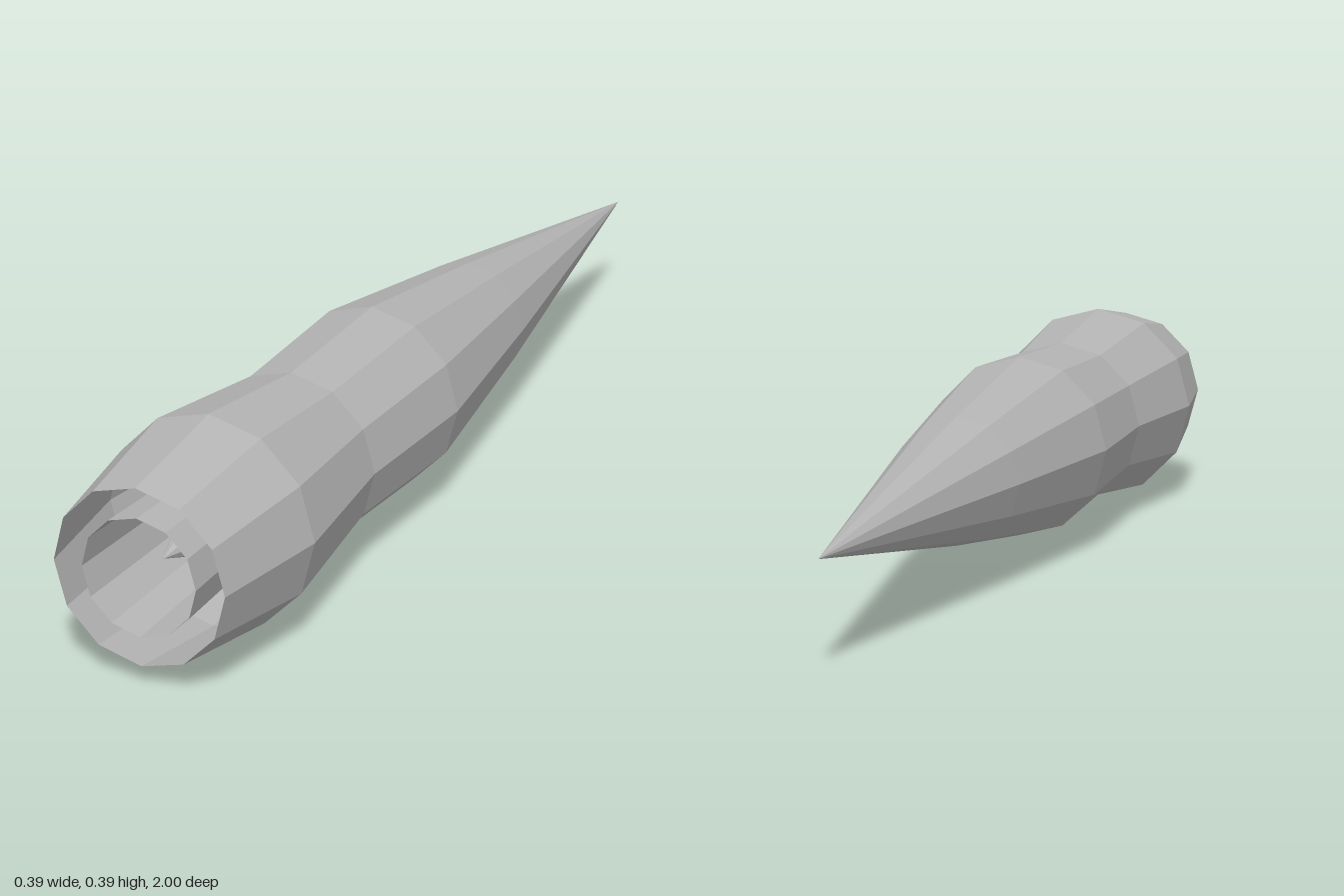
import * as THREE from 'three';

const AXIS_HEIGHT = 0.197;

export function createModel() {
  const group = new THREE.Group();
  group.name = 'taperedNozzle';

  const metal = new THREE.MeshStandardMaterial({
    color: 0xb4b4b4, flatShading: true, side: THREE.DoubleSide,
  });
  metal.name = 'grey metal';

  // Revolve [radius, z] pairs about the long axis
  function revolve(name, profile, sides) {
    const points = profile.map(([r, z]) => new THREE.Vector2(r, z));
    const geometry = new THREE.LatheGeometry(points, sides);
    geometry.rotateX(Math.PI / 2);
    const mesh = new THREE.Mesh(geometry, metal);
    mesh.name = name;
    mesh.position.y = AXIS_HEIGHT;
    group.add(mesh);
  }

  // Hollow outer body: long rear spike, waist, swollen collar, open mouth
  revolve('outerShell', [
    [0, -1], [0.117, -0.25], [0.172, 0.16], [0.16, 0.47], [0.195, 0.76], [0.159, 1],
  ], 12);

  // Thin open sleeve inside the mouth
  revolve('innerSleeve', [[0.098, 0.75], [0.106, 1]], 12);

  // Eight-sided plug pointing out of the mouth
  revolve('plugCone', [[0, 0.6], [0.123, 0.6], [0, 0.92]], 8);

  return group;
}
